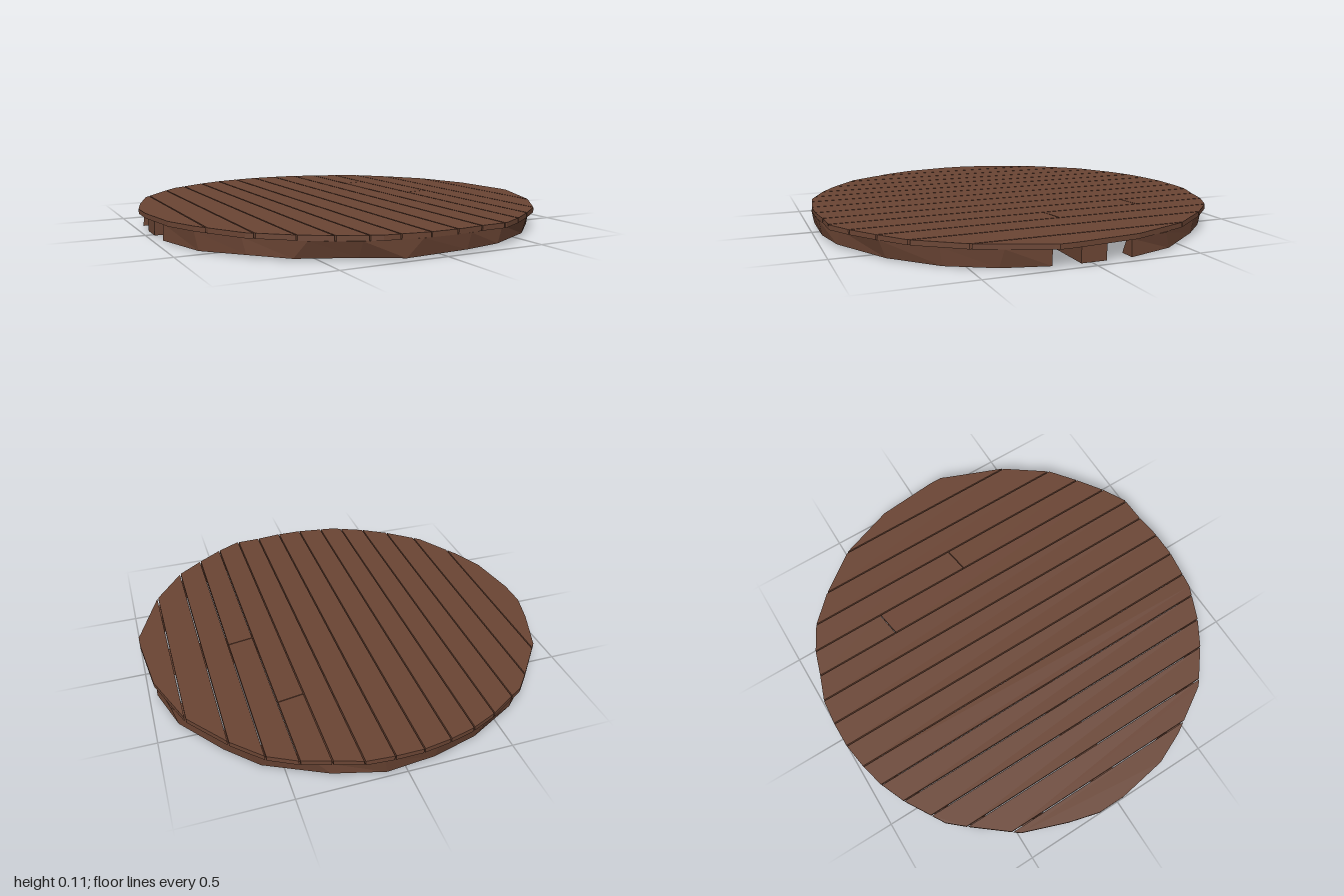
import * as THREE from 'three';

const TOP = 0.108, UNDER = 0.085;

// Hand-cut outline of the lid: back and front edges as [x, z], left to right
const BACK = [[-1, -0.12], [-0.96, -0.27], [-0.88, -0.49], [-0.72, -0.69], [-0.65, -0.77], [-0.45, -0.89],
  [-0.32, -0.945], [-0.2, -0.975], [-0.07, -0.995], [0.06, -0.995], [0.19, -0.985], [0.32, -0.94], [0.45, -0.9],
  [0.58, -0.83], [0.71, -0.7], [0.87, -0.49], [0.97, -0.21], [1, 0.1]];
const FRONT = [[-1, 0.02], [-0.96, 0.27], [-0.89, 0.43], [-0.75, 0.66], [-0.58, 0.8], [-0.45, 0.88], [-0.28, 0.955],
  [-0.07, 0.985], [0.07, 0.985], [0.2, 0.97], [0.33, 0.965], [0.45, 0.9], [0.58, 0.81], [0.71, 0.71],
  [0.87, 0.49], [0.99, 0.19], [1, 0.17]];

// Seams between the planks, and cross joints by plank index
const SEAMS = [-1, -0.855, -0.72, -0.585, -0.455, -0.33, -0.205, -0.072, 0.06, 0.193, 0.32, 0.45, 0.58, 0.712, 0.865, 1];
const JOINTS = { 10: -0.5, 11: -0.01 };

function edgeAt(edge, x) {
  for (let i = 1; i < edge.length; i++) {
    const [x0, z0] = edge[i - 1], [x1, z1] = edge[i];
    if (x <= x1) return z0 + (z1 - z0) * (x - x0) / (x1 - x0);
  }
  return edge[edge.length - 1][1];
}

// Points of an edge between two x values
function slice(edge, x0, x1) {
  const inner = edge.filter(([x]) => x > x0 + 0.002 && x < x1 - 0.002);
  return [[x0, edgeAt(edge, x0)], ...inner, [x1, edgeAt(edge, x1)]];
}

function plank(back, front, material) {
  const outline = [...back, ...front.slice().reverse()].map(([x, z]) => new THREE.Vector2(x, z));
  const geometry = new THREE.ExtrudeGeometry(new THREE.Shape(outline), { depth: TOP - UNDER, bevelEnabled: false });
  geometry.rotateX(Math.PI / 2).translate(0, TOP, 0);
  const mesh = new THREE.Mesh(geometry, material);
  mesh.name = 'plank';
  return mesh;
}

// Rough-hewn half ring below the planks, swept from four-cornered sections
function rimArc(from, to, seed, material) {
  let state = seed;
  const rough = (size) => {
    state = (state * 16807) % 2147483647;
    return (state / 2147483647 - 0.5) * size;
  };
  const steps = 11, sections = [], positions = [];
  for (let i = 0; i <= steps; i++) {
    const end = i === 0 || i === steps;
    const section = [[0.985, UNDER], [0.975, 0.007], [0.925, 0.008], [0.94, UNDER]].map(([r, y], k) => {
      const a = from + (to - from) * i / steps + (end ? 0 : rough(0.12));
      const radius = r + rough(0.02);
      const low = k === 1 || k === 2;
      return [Math.cos(a) * radius, y + (low ? rough(0.014) : 0), Math.sin(a) * radius];
    });
    sections.push(section);
  }
  const tri = (a, b, c) => positions.push(...a, ...b, ...c);
  for (let i = 0; i < steps; i++) {
    const p = sections[i], q = sections[i + 1];
    for (let k = 0; k < 4; k++) {
      const n = (k + 1) % 4;
      tri(p[k], q[k], p[n]);
      tri(q[k], q[n], p[n]);
    }
  }
  const s = sections[0], e = sections[steps];
  tri(s[0], s[1], s[2]);
  tri(s[0], s[2], s[3]);
  tri(e[2], e[1], e[0]);
  tri(e[3], e[2], e[0]);
  const geometry = new THREE.BufferGeometry();
  geometry.setAttribute('position', new THREE.Float32BufferAttribute(positions, 3));
  geometry.computeVertexNormals();
  const mesh = new THREE.Mesh(geometry, material);
  mesh.name = 'rim';
  return mesh;
}

export function createModel() {
  const model = new THREE.Group();
  model.name = 'roundWoodenLid';
  const wood = new THREE.MeshStandardMaterial({ color: 0x6b4534 });
  wood.name = 'brown wood';
  wood.flatShading = true;

  // Planks running front to back with thin gaps
  const planks = new THREE.Group();
  planks.name = 'planks';
  const gap = 0.003;
  for (let i = 0; i < SEAMS.length - 1; i++) {
    const x0 = SEAMS[i] + (i ? gap : 0);
    const x1 = SEAMS[i + 1] - (i < SEAMS.length - 2 ? gap : 0);
    const back = slice(BACK, x0, x1), front = slice(FRONT, x0, x1);
    if (i in JOINTS) {
      const z = JOINTS[i];
      planks.add(plank(back, [[x0, z - 0.002], [x1, z - 0.022]], wood));
      planks.add(plank([[x0, z + 0.002], [x1, z - 0.018]], front, wood));
    } else {
      planks.add(plank(back, front, wood));
    }
  }
  model.add(planks);

  // Two rim arcs, leaving openings at both ends of the crossbar
  const open = 0.188;
  model.add(rimArc(open, Math.PI - open, 1234, wood));
  model.add(rimArc(Math.PI + open, 2 * Math.PI - open, 8765, wood));

  // Crossbar under the planks
  const bar = new THREE.Mesh(new THREE.BoxGeometry(1.94, UNDER - 0.008, 0.118), wood);
  bar.name = 'crossbar';
  bar.position.y = (UNDER + 0.008) / 2;
  model.add(bar);

  return model;
}
